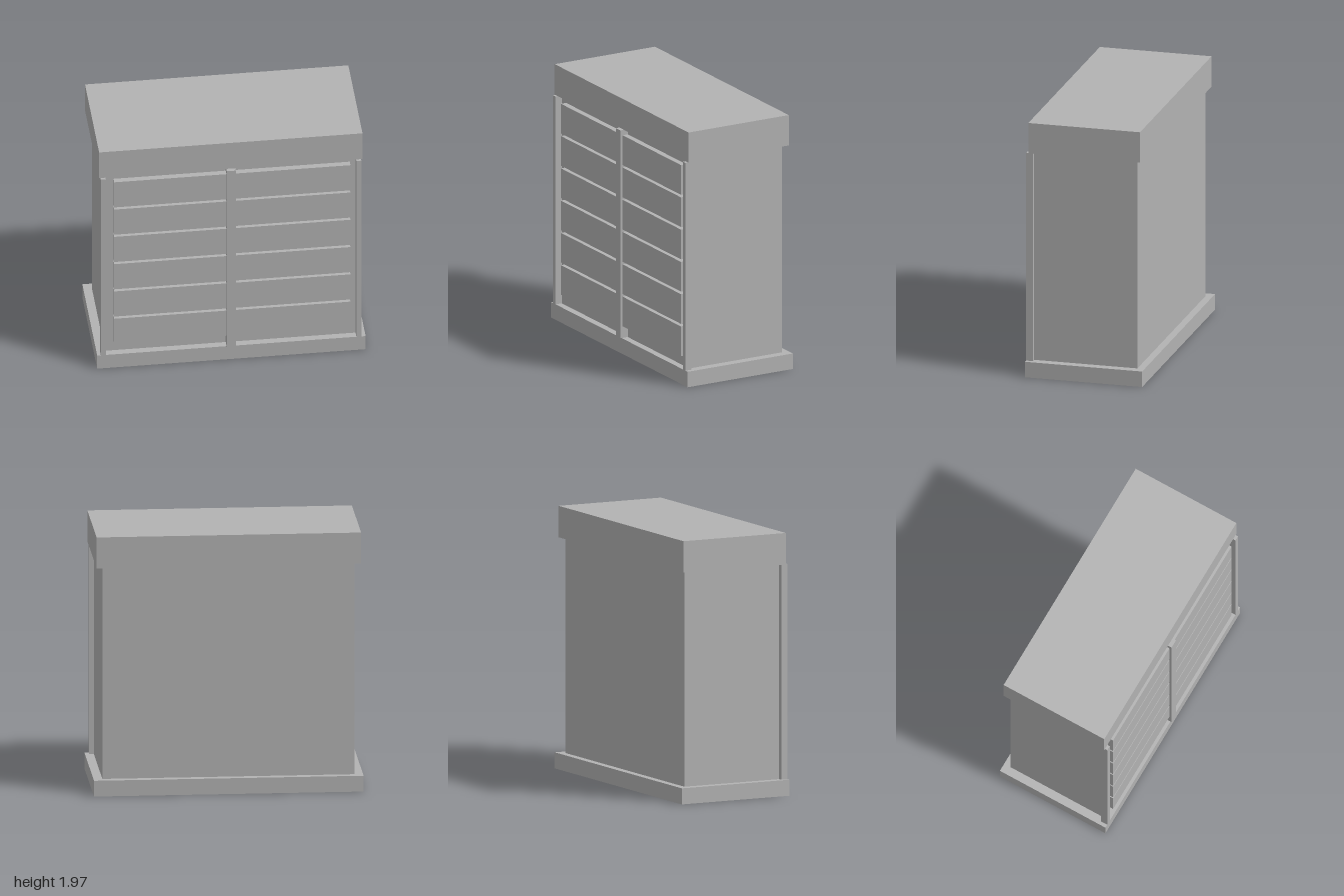
import * as THREE from 'three';

export function createModel() {
  const group = new THREE.Group();
  group.name = 'drawerCabinet';
  const grey = new THREE.MeshStandardMaterial({ color: 0xb2b2b2 });
  grey.name = 'grey';

  // Box given by its extents along each axis
  const box = (name, x0, x1, y0, y1, z0, z1) => {
    const mesh = new THREE.Mesh(new THREE.BoxGeometry(x1 - x0, y1 - y0, z1 - z0), grey);
    mesh.position.set((x0 + x1) / 2, (y0 + y1) / 2, (z0 + z1) / 2);
    mesh.name = name;
    group.add(mesh);
  };

  const floor = 0.12, ceiling = 1.73, face = 0.392;

  // Plinth, carcass and thick top
  box('base', -1, 1, 0, floor, -0.455, 0.445);
  box('body', -0.936, 0.934, floor, ceiling, -0.4, face);
  box('top', -0.983, 0.979, ceiling, 1.965, -0.433, 0.425);

  // Corner posts stand proud of the sides, the middle post of the front
  box('rightPost', -0.973, -0.936, floor, ceiling, face, 0.445);
  box('leftPost', 0.931, 0.968, floor, ceiling, face, 0.445);
  box('centerPost', -0.036, 0.031, floor, ceiling, face, 0.455);

  // Six rows of drawer fronts on each side of the middle post
  for (let row = 0; row < 6; row++) {
    const y = 0.21 + row * 0.25;
    box('rightDrawer' + (row + 1), -0.872, -0.036, y, y + 0.23, face, 0.437);
    box('leftDrawer' + (row + 1), 0.031, 0.888, y, y + 0.23, face, 0.437);
  }

  return group;
}
